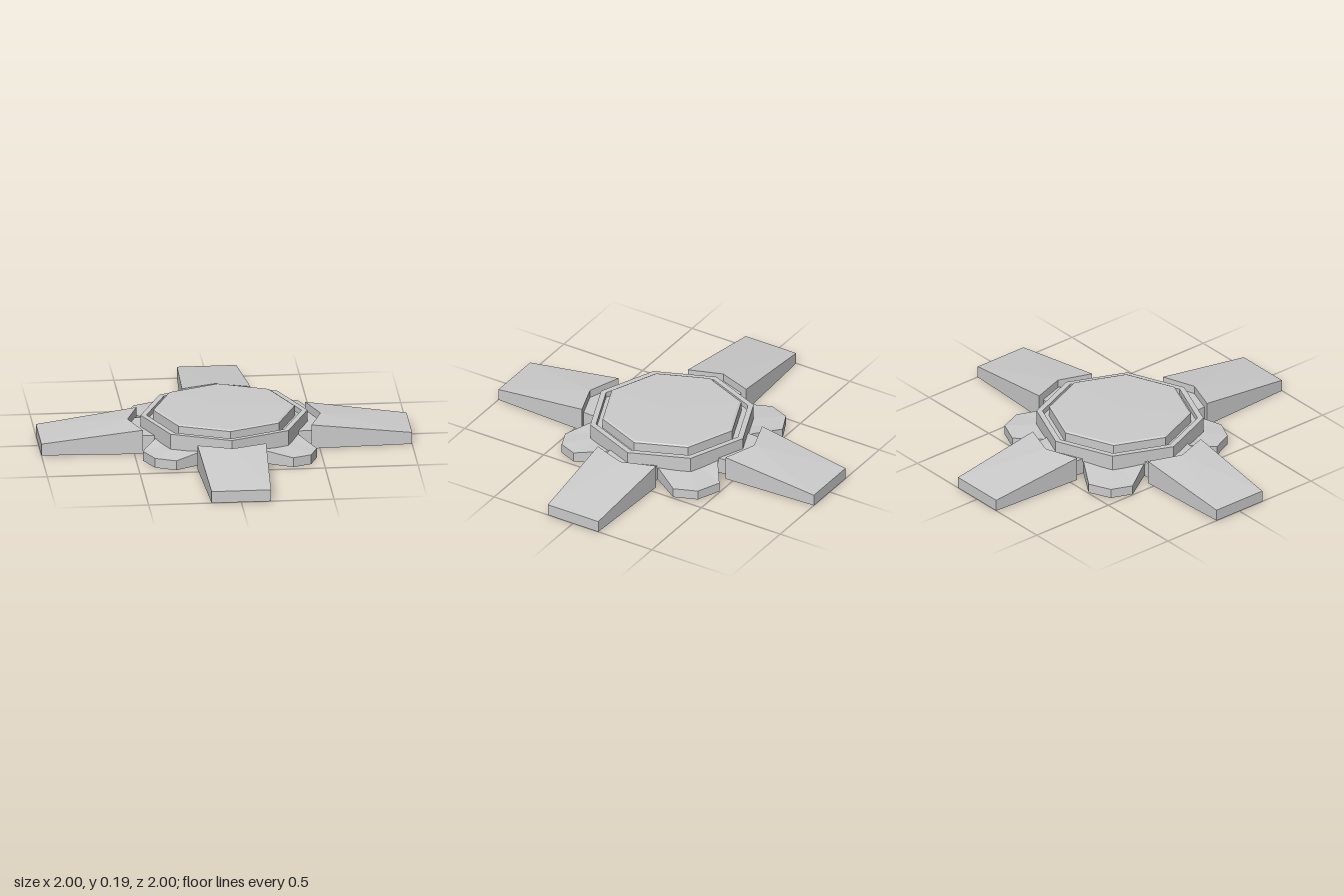
import * as THREE from 'three';

const material = new THREE.MeshStandardMaterial({ color: 0xcccccc, flatShading: true });

// Solid standing on y = 0 from an outline of [x, z, height], clockwise seen from above.
// The top is fanned from the first corner.
function prism(outline) {
  const n = outline.length;
  const pos = [];
  const idx = [];
  outline.forEach(([x, z, h]) => pos.push(x, h, z, x, 0, z));
  for (let i = 0; i < n; i++) {
    const j = (i + 1) % n;
    idx.push(2 * i, 2 * j, 2 * j + 1, 2 * i, 2 * j + 1, 2 * i + 1);
    if (i > 0 && j > 0) idx.push(0, 2 * j, 2 * i, 1, 2 * i + 1, 2 * j + 1);
  }
  const g = new THREE.BufferGeometry();
  g.setAttribute('position', new THREE.Float32BufferAttribute(pos, 3));
  g.setIndex(idx);
  g.computeVertexNormals();
  return g;
}

function octagon(profile) {
  const g = new THREE.LatheGeometry(profile.map(([r, y]) => new THREE.Vector2(r, y)), 8);
  g.computeVertexNormals();
  return g;
}

export function createModel() {
  const model = new THREE.Group();
  const add = (name, geometry, angle = 0) => {
    const mesh = new THREE.Mesh(geometry, material);
    mesh.name = name;
    mesh.rotation.y = angle;
    model.add(mesh);
  };

  // Lower core, under the overhanging disc
  add('core', octagon([[0, 0], [0.37, 0], [0.37, 0.08], [0, 0.08]]));

  // Octagonal disc: rim, groove and bevelled raised lid
  add('disc', octagon([
    [0, 0.07], [0.45, 0.07], [0.45, 0.155], [0.418, 0.155], [0.418, 0.125],
    [0.382, 0.125], [0.382, 0.182], [0.37, 0.188], [0, 0.192],
  ]));

  // Four sloping arms, inner ends notched parallel to the disc, with connectors
  const arm = prism([
    [0, 0.52, 0.135], [0.185, 0.455, 0.135], [0.16, 1, 0.065],
    [-0.16, 1, 0.065], [-0.185, 0.455, 0.135],
  ]);
  const connector = prism([
    [-0.155, 0.3, 0.09], [0.155, 0.3, 0.09], [0.14, 0.53, 0.09], [-0.14, 0.53, 0.09],
  ]);
  for (let i = 0; i < 4; i++) {
    add('arm', arm, i * Math.PI / 2);
    add('connector', connector, i * Math.PI / 2);
  }

  // Diagonal lobes, slightly different in reach: three outer corners [x, z] each
  const lobes = [
    [1, 1, [[0.47, 0.33], [0.43, 0.43], [0.33, 0.47]]],
    [-1, 1, [[0.465, 0.29], [0.41, 0.41], [0.30, 0.46]]],
    [1, -1, [[0.49, 0.315], [0.44, 0.44], [0.31, 0.495]]],
    [-1, -1, [[0.495, 0.325], [0.45, 0.44], [0.33, 0.495]]],
  ];
  for (const [sx, sz, tips] of lobes) {
    const outline = [
      [0.2, 0.2, 0.085], [0.37, 0.13, 0.08],
      ...tips.map(([x, z]) => [x, z, 0.053]),
      [0.13, 0.37, 0.08],
    ].map(([x, z, h]) => [x * sx, z * sz, h]);
    if (sx * sz < 0) outline.push(...outline.splice(1).reverse());
    add('lobe', prism(outline));
  }
  return model;
}
